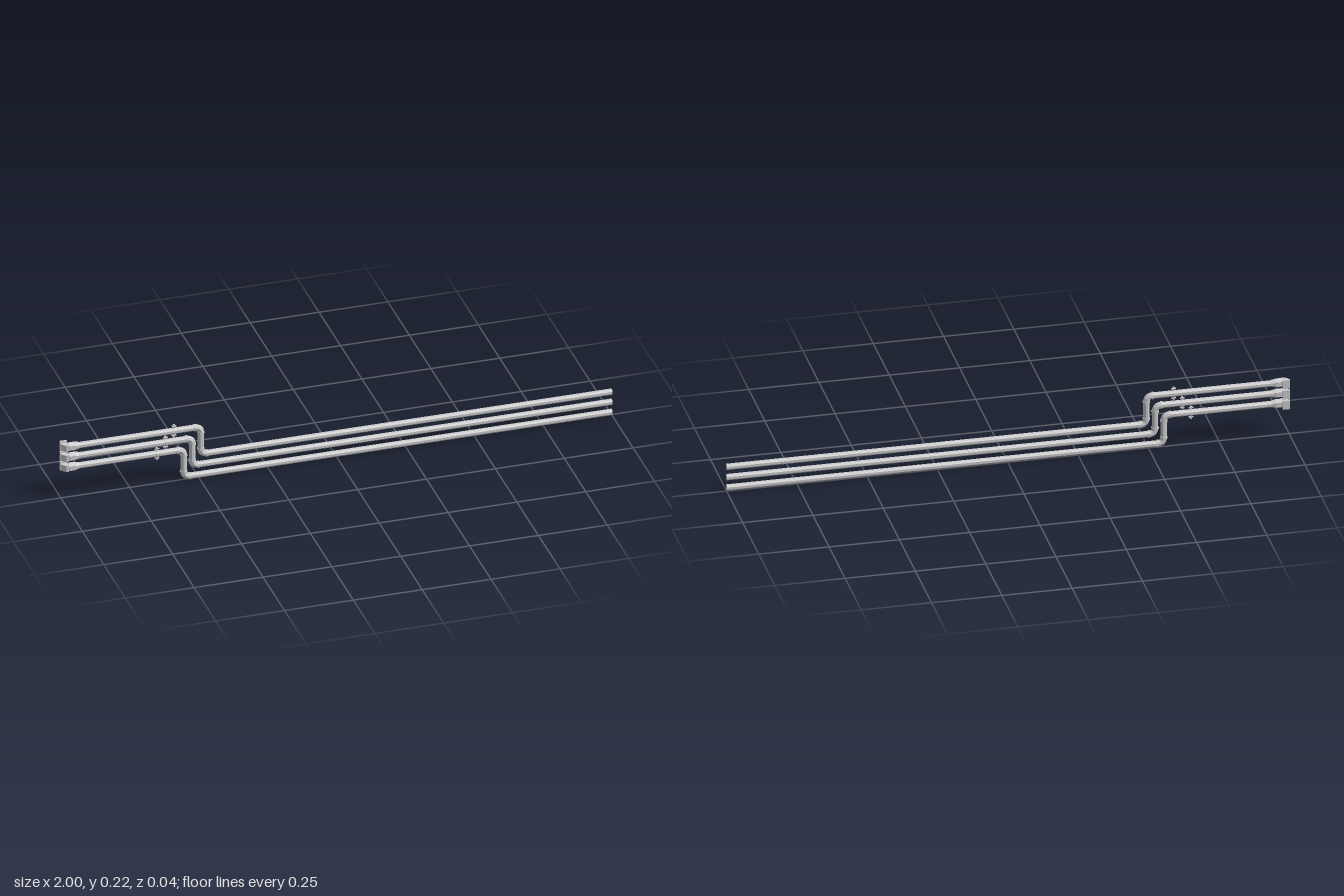
import * as THREE from 'three';

const SIDES = 8, R = 0.0112, Z = 0.003, BEND = 0.022;
const mat = new THREE.MeshStandardMaterial({ color: 0xcccccc, flatShading: true });

function add(group, name, geometry, x, y, z = Z) {
  const mesh = new THREE.Mesh(geometry, mat);
  mesh.name = name;
  mesh.position.set(x, y, z);
  group.add(mesh);
  return mesh;
}

// Cylinder lying along x
function alongX(group, name, x0, x1, y, radius, sides = SIDES, r2 = radius) {
  const g = new THREE.CylinderGeometry(r2, radius, x1 - x0, sides);
  g.rotateY(sides === SIDES ? Math.PI / 8 : Math.PI / 2).rotateZ(-Math.PI / 2);
  return add(group, name, g, (x0 + x1) / 2, y);
}

// Cylinder standing along y
function alongY(group, name, x, y0, y1, radius) {
  const g = new THREE.CylinderGeometry(radius, radius, y1 - y0, SIDES).rotateY(Math.PI / 8);
  return add(group, name, g, x, (y0 + y1) / 2);
}

// Quarter bend around the corner (x, y); sx and sy point along its two legs
function elbow(group, x, y, sx, sy) {
  const path = new THREE.QuadraticBezierCurve3(
    new THREE.Vector3(sx * BEND, 0, 0), new THREE.Vector3(), new THREE.Vector3(0, sy * BEND, 0));
  add(group, 'elbow', new THREE.TubeGeometry(path, 5, R * 1.08, SIDES), x, y);
  // Raised collars at both ends of the bend
  const cx = x + sx * BEND, cy = y + sy * BEND;
  alongX(group, 'elbowCollar', cx - 0.003, cx + 0.003, y, 0.0135);
  alongY(group, 'elbowCollar', x, cy - 0.003, cy + 0.003, 0.0135);
}

// End fitting: hex nut, elbow body and rear-facing flange
function endFitting(group, y) {
  const f = new THREE.Group();
  f.name = 'endFitting';
  alongX(f, 'sleeve', -0.95, -0.937, y, 0.0145, SIDES, 0.0125);
  alongX(f, 'hexNut', -0.975, -0.95, y, 0.0172, 6);
  const profile = new THREE.Shape([
    [-0.998, -0.012], [-0.975, -0.012], [-0.975, 0.013], [-0.985, 0.013], [-0.998, 0],
  ].map(([x, z]) => new THREE.Vector2(x, -z)));
  const body = new THREE.ExtrudeGeometry(profile, { depth: 0.024, bevelEnabled: false });
  body.translate(0, 0, -0.012).rotateX(-Math.PI / 2);
  add(f, 'elbowBody', body, 0, y, Z);
  add(f, 'flange', new THREE.BoxGeometry(0.026, 0.033, 0.009), -0.987, y, -0.0135);
  group.add(f);
}

// Pipe clamp: band around the pipe with a tab above and below
function clamp(group, x, y) {
  const c = new THREE.Group();
  c.name = 'clamp';
  alongX(c, 'clampBand', x - 0.004, x + 0.004, y, 0.0135);
  for (const s of [-1, 1]) {
    add(c, 'clampTab', new THREE.BoxGeometry(0.006, 0.012, 0.01), x, y + s * 0.0175);
    const bolt = new THREE.CylinderGeometry(0.003, 0.003, 0.016, 6).rotateZ(Math.PI / 2);
    add(c, 'clampBolt', bolt, x, y + s * 0.018);
  }
  group.add(c);
}

export function createModel() {
  const model = new THREE.Group();
  model.name = 'pipeRun';
  for (let i = 0; i < 3; i++) {
    const pipe = new THREE.Group();
    pipe.name = 'pipe' + (i + 1);
    const low = 0.0145 + i * 0.04, high = 0.122 + i * 0.04;
    const dropX = -0.555 + i * 0.031;
    alongX(pipe, 'upperPipe', -0.945, dropX - BEND, high, R);
    alongY(pipe, 'dropPipe', dropX, low + BEND, high - BEND, R);
    alongX(pipe, 'lowerPipe', dropX + BEND, 1, low, R);
    elbow(pipe, dropX, high, -1, -1);
    elbow(pipe, dropX, low, 1, 1);
    clamp(pipe, -0.652 + i * 0.031, high);
    endFitting(pipe, high);
    model.add(pipe);
  }
  // Settle on the ground and centre
  const box = new THREE.Box3().setFromObject(model);
  model.position.set(-(box.min.x + box.max.x) / 2, -box.min.y, 0);
  return model;
}
